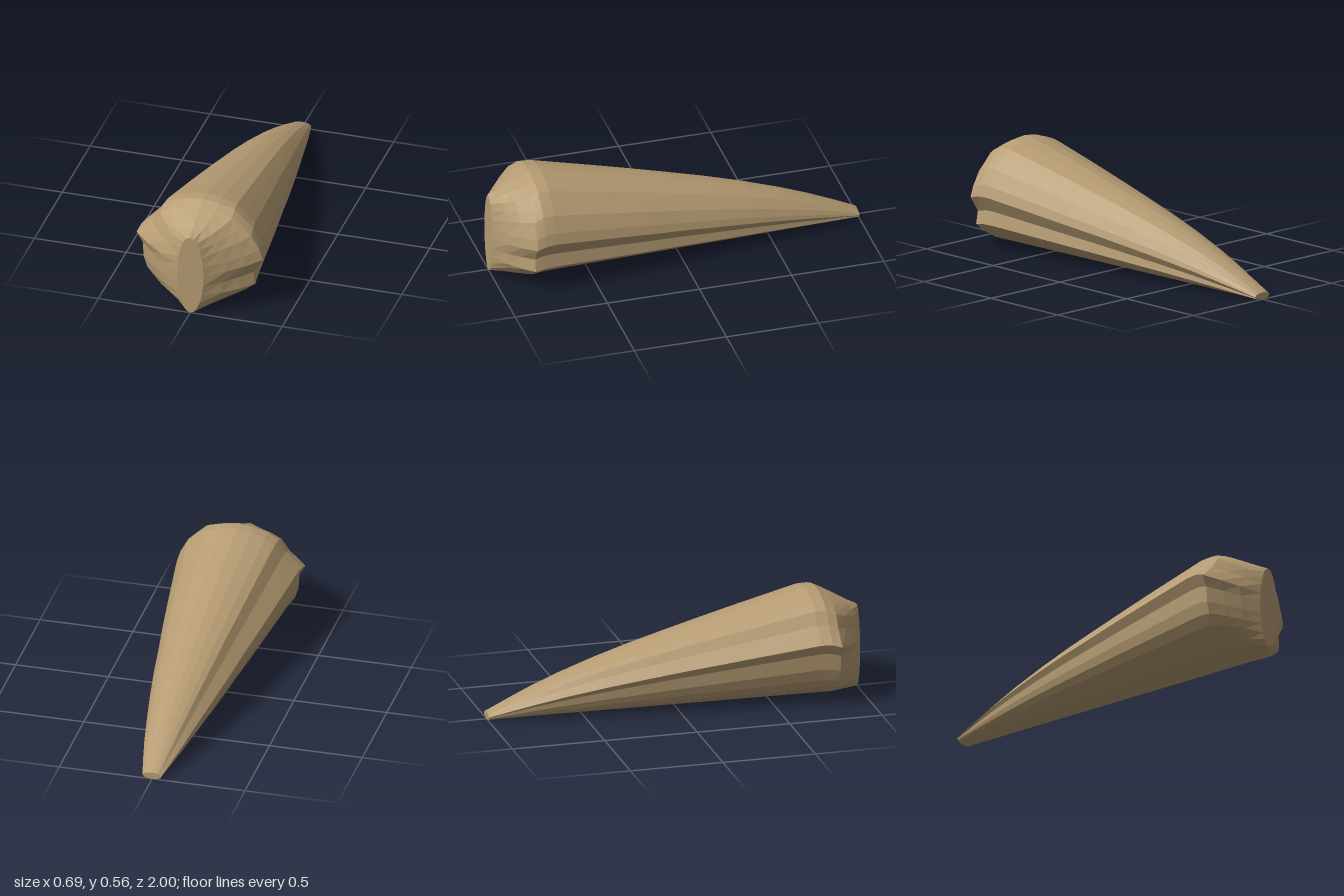
import * as THREE from 'three';

// Widest cross-section, from the crown down the +x side and back up the -x side
const SECTION = [
  [0, 0.565], [0.09, 0.555], [0.178, 0.53], [0.23, 0.483], [0.28, 0.435], [0.325, 0.353],
  [0.343, 0.294], [0.29, 0.21], [0.303, 0.137], [0.245, 0.089], [0.16, 0.038], [0.085, 0.01],
  [0, 0], [-0.085, 0.01], [-0.15, 0.036], [-0.245, 0.089], [-0.285, 0.141], [-0.305, 0.205],
  [-0.31, 0.294], [-0.343, 0.352], [-0.258, 0.435], [-0.215, 0.5], [-0.16, 0.53], [-0.08, 0.555],
];

// Stations along the body: z, half width, height, ridge strength (0 = plain ellipse)
const STATIONS = [
  [1, 0.072, 0.45, 0], [0.945, 0.18, 0.478, 0.8], [0.89, 0.268, 0.507, 1], [0.83, 0.343, 0.538, 1],
  [0.78, 0.337, 0.564, 1], [0.72, 0.329, 0.564, 1], [0.4, 0.287, 0.487, 1], [0.2, 0.26, 0.437, 1],
  [0, 0.23, 0.386, 1], [-0.2, 0.203, 0.332, 1], [-0.4, 0.171, 0.273, 1], [-0.6, 0.136, 0.206, 1],
  [-0.75, 0.108, 0.148, 1], [-0.88, 0.08, 0.092, 1], [-1, 0.052, 0.037, 0.8],
];

function ring([z, halfWidth, height, ridge]) {
  return SECTION.map(([x, y], i) => {
    const a = (i / SECTION.length) * Math.PI * 2;
    const px = THREE.MathUtils.lerp(Math.sin(a), x / 0.343, ridge);
    const py = THREE.MathUtils.lerp(0.5 + 0.5 * Math.cos(a), y / 0.565, ridge);
    return new THREE.Vector3(px * halfWidth, py * height, z);
  });
}

function geometryFrom(points, index) {
  const geometry = new THREE.BufferGeometry().setFromPoints(points);
  geometry.setIndex(index);
  geometry.computeVertexNormals();
  return geometry;
}

// Skin between neighbouring rings, facing outwards
function loft(rings) {
  const n = SECTION.length;
  const index = [];
  for (let r = 0; r < rings.length - 1; r++) {
    for (let i = 0; i < n; i++) {
      const a = r * n + i, b = r * n + ((i + 1) % n);
      index.push(a, b, a + n, b, b + n, a + n);
    }
  }
  return geometryFrom(rings.flat(), index);
}

// Flat end closed with a fan around the ring's centre
function cap(points, facingFront) {
  const n = points.length;
  const centre = new THREE.Vector3();
  points.forEach((p) => centre.addScaledVector(p, 1 / n));
  const index = [];
  for (let i = 0; i < n; i++) {
    const j = (i + 1) % n;
    index.push(n, ...(facingFront ? [j, i] : [i, j]));
  }
  return geometryFrom([...points, centre], index);
}

export function createModel() {
  const group = new THREE.Group();
  group.name = 'taperedHorn';
  const material = new THREE.MeshStandardMaterial({ color: 0xb69c73, flatShading: true });
  const rings = STATIONS.map(ring);
  const parts = {
    ridgedBody: loft(rings),
    frontCap: cap(rings[0], true),
    tailCap: cap(rings[rings.length - 1], false),
  };
  for (const [name, geometry] of Object.entries(parts)) {
    const mesh = new THREE.Mesh(geometry, material);
    mesh.name = name;
    group.add(mesh);
  }
  return group;
}
